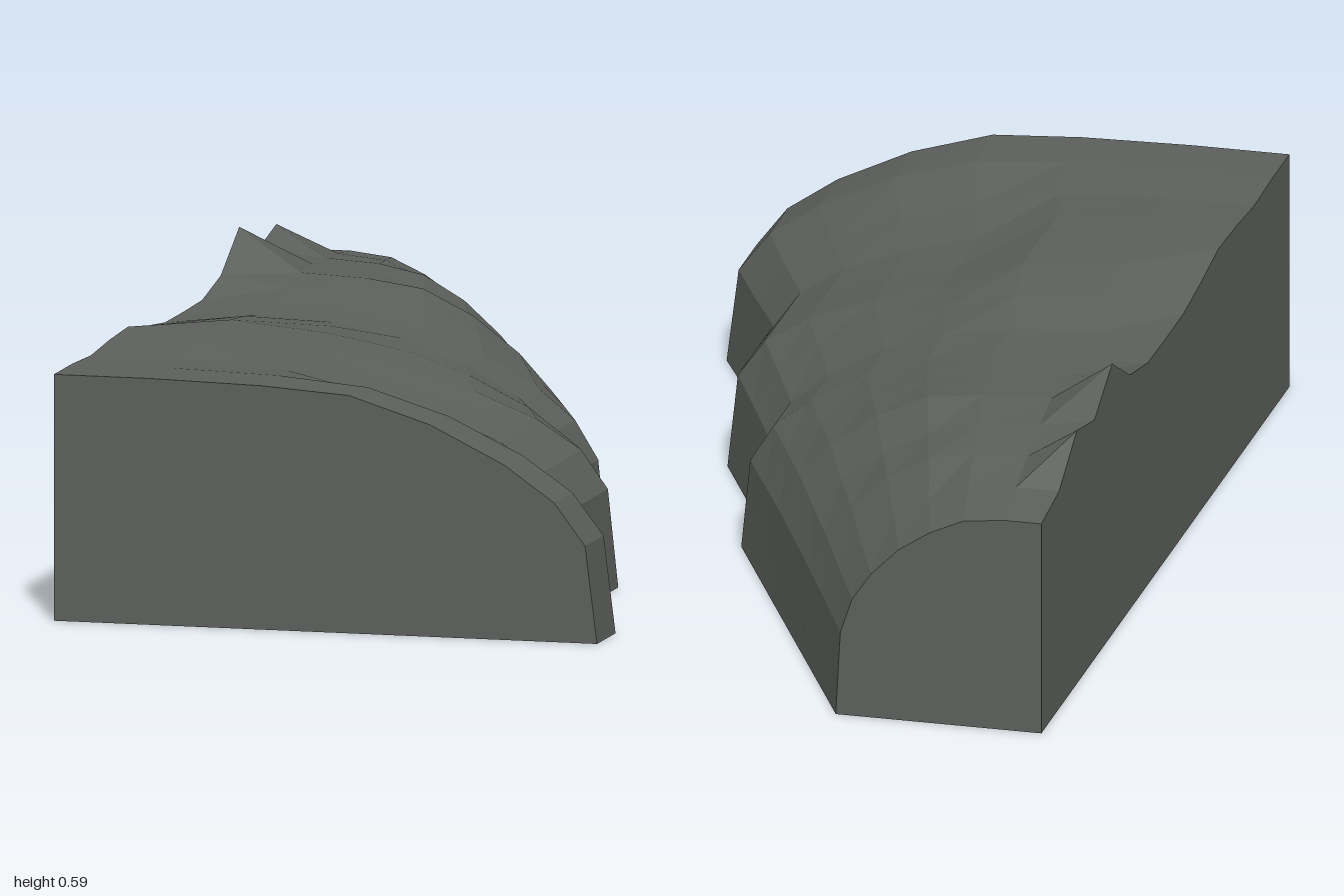
import * as THREE from 'three';

// Cross-section rows, evenly spaced back (z = -1) to front (z = 1):
// [outer edge x, height, extra crest height on the cut edge, shoulder dip]
const ROWS = [
  [-0.14, 0.455, 0, 0.06],
  [-0.07, 0.472, 0, 0.06],
  [0.00, 0.485, 0.065, 0.02],
  [0.07, 0.495, 0.025, 0.05],
  [0.14, 0.500, 0.088, 0.01],
  [0.21, 0.492, 0.018, 0.03],
  [0.28, 0.482, 0, 0.05],
  [0.28, 0.480, 0, 0.04],
  [0.35, 0.500, -0.02, 0.08],
  [0.42, 0.515, -0.02, 0.13],
  [0.42, 0.515, 0, 0.14],
  [0.42, 0.510, 0, 0.12],
  [0.495, 0.500, 0, 0.07],
  [0.57, 0.505, 0, 0.01],
  [0.57, 0.505, 0, 0],
];

// Profile columns: fraction across the width, relative height, dip weight
const COLUMNS = [
  [0, 1, 0], [0.18, 1, 0], [0.38, 0.99, 0.2], [0.544, 0.965, 1], [0.693, 0.86, 0.9],
  [0.829, 0.71, 0.6], [0.921, 0.565, 0.3], [0.978, 0.395, 0.1], [1, 0, 0],
];
const LEFT = -0.57;

function rockGeometry() {
  const points = [];
  const index = [];
  const n = COLUMNS.length + 1;
  const last = ROWS.length - 1;

  // Each ring starts at the lower corner of the cut edge and runs over the top
  ROWS.forEach(([outer, height, crest, dip], i) => {
    const z = -1 + (2 * i) / last;
    points.push(LEFT, 0, z);
    COLUMNS.forEach(([f, h, weight], j) => {
      const y = height * h * (1 - dip * weight) + (j === 0 ? crest : 0);
      points.push(LEFT + f * (outer - LEFT), y, z);
    });
  });

  // Skin between rings, including the flat cut side and the underside
  for (let i = 0; i < last; i++) {
    for (let j = 0; j < n; j++) {
      const a = i * n + j;
      const b = i * n + ((j + 1) % n);
      index.push(a, a + n, b, b, a + n, b + n);
    }
  }

  // Flat end faces
  const front = last * n;
  for (let j = 1; j < n - 1; j++) {
    index.push(0, j, j + 1);
    index.push(front, front + j + 1, front + j);
  }

  const indexed = new THREE.BufferGeometry();
  indexed.setAttribute('position', new THREE.Float32BufferAttribute(points, 3));
  indexed.setIndex(index);
  const geometry = indexed.toNonIndexed();
  geometry.computeVertexNormals();
  return geometry;
}

export function createModel() {
  const group = new THREE.Group();
  group.name = 'rockLedge';
  const stone = new THREE.MeshStandardMaterial({ color: 0x5c5f5c, flatShading: true });
  const rock = new THREE.Mesh(rockGeometry(), stone);
  rock.name = 'rock';
  group.add(rock);
  return group;
}
